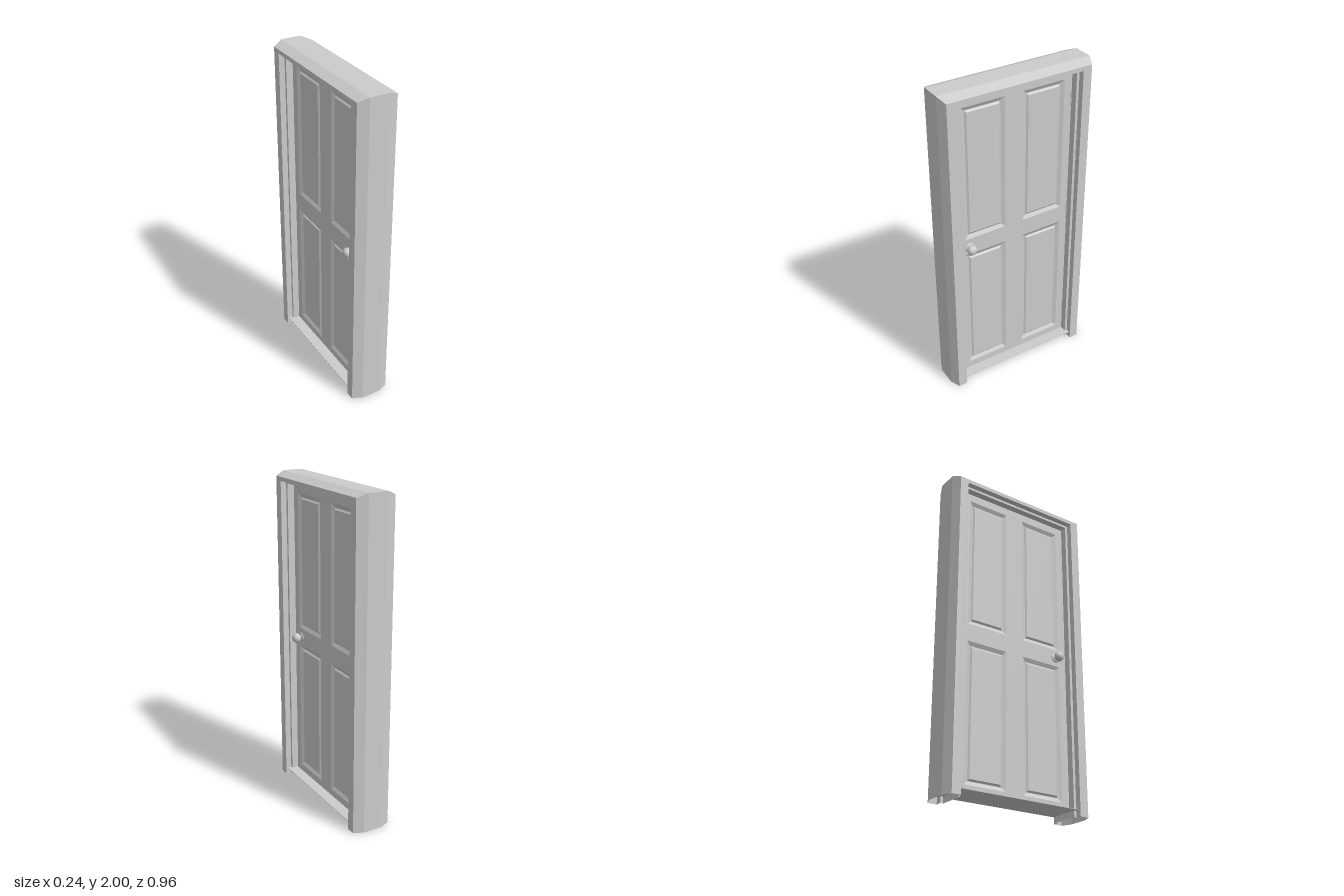
import * as THREE from 'three';

const material = new THREE.MeshStandardMaterial({ color: 0xcccccc });
const shellMaterial = new THREE.MeshStandardMaterial({ color: 0xcccccc, side: THREE.DoubleSide });
const H = 2, HALF_W = 0.481;         // outer frame
const DOOR_W = 0.383, DOOR_BOTTOM = 0.04, DOOR_TOP = 1.935, DOOR_X = 0.042;

function part(name, geometry, parent, mat = material) {
  const mesh = new THREE.Mesh(geometry, mat);
  mesh.name = name;
  parent.add(mesh);
  return mesh;
}

// Flat-shaded skin through a row of equal-length closed loops, with an optional end cap
function loft(loops, capEnd) {
  const n = loops[0].length, index = [];
  for (let k = 0; k < loops.length - 1; k++) {
    for (let i = 0; i < n; i++) {
      const j = (i + 1) % n, a = k * n, b = a + n;
      index.push(a + i, a + j, b + j, a + i, b + j, b + i);
    }
  }
  const last = (loops.length - 1) * n;
  for (let i = 1; capEnd && i < n - 1; i++) index.push(last, last + i, last + i + 1);
  const indexed = new THREE.BufferGeometry();
  indexed.setAttribute('position', new THREE.Float32BufferAttribute(loops.flat(2), 3));
  indexed.setIndex(index);
  const geometry = indexed.toNonIndexed();
  geometry.computeVertexNormals();
  return geometry;
}

// Casing shell: one profile with a stepped stop, carried up, across and down; open feet
function frameGeometry() {
  // x, inset from the side, inset from the top
  const half = [
    [0.061, 0, 0], [0.1215, 0.025, 0.025], [0.1215, 0.081, 0.05],
    [0.085, 0.081, 0.05], [0.085, 0.098, 0.065],
  ];
  const profile = [...half, ...half.map(([x, s, t]) => [-x, s, t]).reverse()];
  const stations = [[1, false], [1, true], [-1, true], [-1, false]];
  const loops = stations.map(([side, top]) =>
    profile.map(([x, s, t]) => [x, top ? H - t : 0, side * (HALF_W - s)]));
  return loft(loops, false);
}

// Rectangle corners, anticlockwise as seen from +x
function rect(x, p, inset) {
  const z0 = p.z0 + inset, z1 = p.z1 - inset, y0 = p.y0 + inset, y1 = p.y1 - inset;
  return [[x, y0, z1], [x, y0, z0], [x, y1, z0], [x, y1, z1]];
}

// Stiles and rails, cut through at the panels
function slabGeometry(panels) {
  const outline = (z0, z1, y0, y1) => [[z0, y0], [z1, y0], [z1, y1], [z0, y1]]
    .map(([z, y]) => new THREE.Vector2(z, y));
  const shape = new THREE.Shape(outline(-DOOR_W, DOOR_W, DOOR_BOTTOM, DOOR_TOP));
  for (const p of panels) shape.holes.push(new THREE.Path(outline(p.z0, p.z1, p.y0, p.y1)));
  const geometry = new THREE.ExtrudeGeometry(shape, { depth: 2 * DOOR_X, bevelEnabled: false });
  geometry.rotateY(-Math.PI / 2);
  geometry.translate(DOOR_X, 0, 0);
  return geometry;
}

// Rose, neck and ball, turned about the x axis
function knobGeometry() {
  const points = [[0, 0], [0.029, 0], [0.029, 0.003], [0.022, 0.007], [0.012, 0.009]];
  const ball = 0.031, centre = 0.037;
  for (let i = 0; i <= 10; i++) {
    const a = THREE.MathUtils.lerp(-1.15, Math.PI / 2, i / 10);
    points.push([Math.max(0, ball * Math.cos(a)), centre + 0.85 * ball * Math.sin(a)]);
  }
  const geometry = new THREE.LatheGeometry(points.map(([r, h]) => new THREE.Vector2(r, h)), 24);
  geometry.rotateZ(-Math.PI / 2);
  return geometry;
}

export function createModel() {
  const model = new THREE.Group();
  model.name = 'panelDoor';

  part('doorFrame', frameGeometry(), model, shellMaterial);

  // Thin threshold under the door, running on inside the hollow posts
  const sill = part('threshold', new THREE.BoxGeometry(0.22, 0.003, 0.92), model);
  sill.position.y = DOOR_BOTTOM;

  const door = new THREE.Group();
  door.name = 'door';
  model.add(door);

  const panels = [];
  for (const [y0, y1] of [[0.085, 0.93], [1.04, 1.885]]) {
    for (const [z0, z1] of [[0.06, 0.333], [-0.333, -0.06]]) panels.push({ y0, y1, z0, z1 });
  }
  part('stilesAndRails', slabGeometry(panels), door);

  // Sunk moulding with a raised field, on both faces
  for (const side of [1, -1]) {
    for (const p of panels) {
      const steps = [[0, 0], [0.022, 0.012], [0.026, 0.012], [0.036, 0.004]];
      const loops = steps.map(([inset, depth]) => rect(DOOR_X - depth, p, inset));
      const panel = part('panel', loft(loops, true), door);
      if (side < 0) panel.rotation.y = Math.PI;
    }
    const knob = part('knob', knobGeometry(), door);
    knob.position.set(side * DOOR_X, 0.983, 0.308);
    if (side < 0) knob.rotation.y = Math.PI;
  }

  // Slim hinge knuckles along the back edge
  for (const y of [0.213, 0.985, 1.765]) {
    const hinge = part('hinge', new THREE.CylinderGeometry(0.003, 0.003, 0.112, 10), door);
    hinge.position.set(DOOR_X, y, -DOOR_W + 0.003);
  }
  return model;
}
